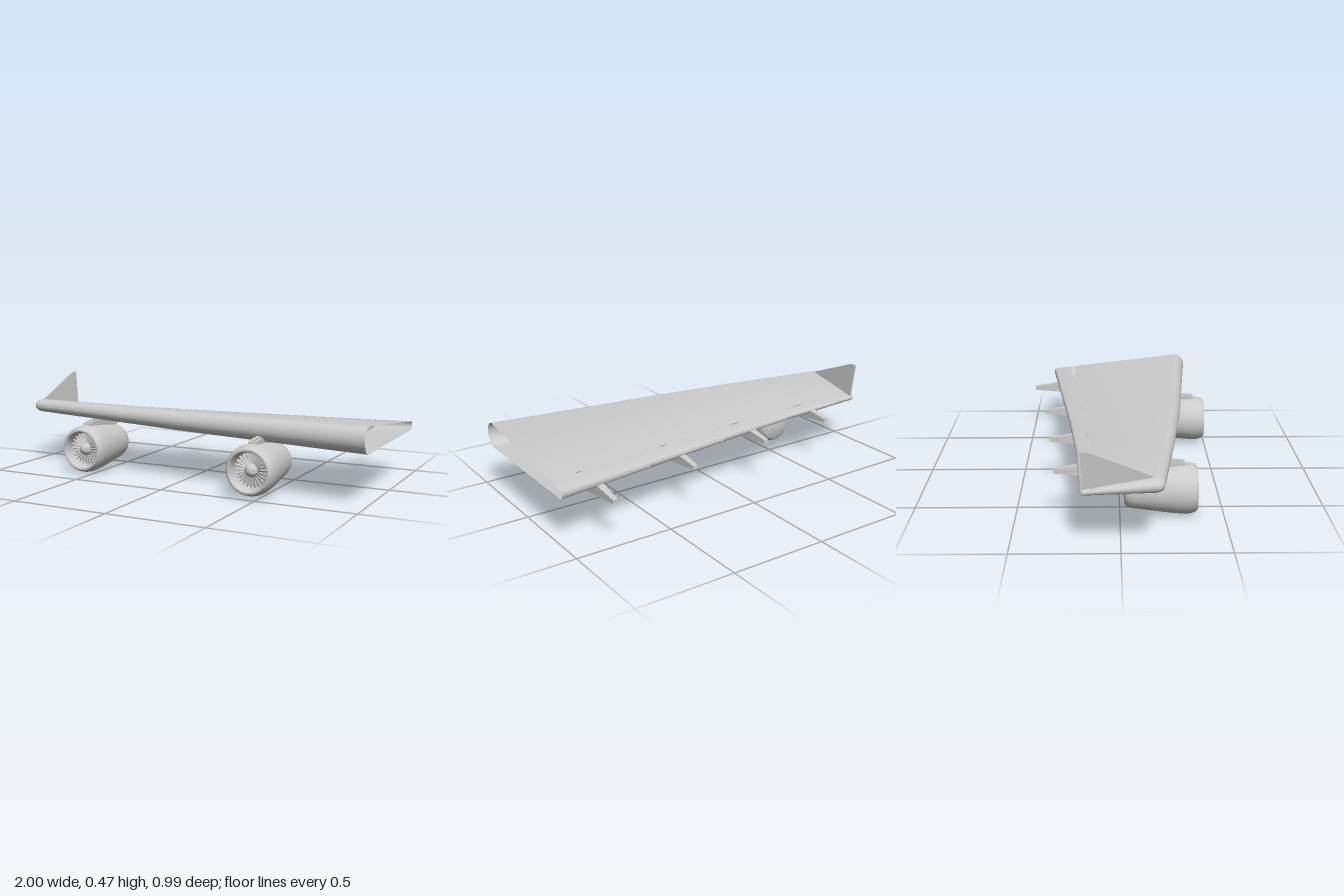
import * as THREE from 'three';
import { toCreasedNormals } from 'three/addons/utils/BufferGeometryUtils.js';

const GREY = new THREE.MeshStandardMaterial({ color: 0xcccccc, side: THREE.DoubleSide });

function mesh(name, geometry, crease = 0.6) {
  const m = new THREE.Mesh(toCreasedNormals(geometry, crease), GREY);
  m.name = name;
  return m;
}

// Skin stretched over a list of rings with equal point counts (open ends)
function loft(rings) {
  const n = rings[0].length, index = [];
  for (let r = 0; r < rings.length - 1; r++) {
    for (let i = 0; i < n - 1; i++) {
      const a = r * n + i, b = a + n;
      index.push(a, a + 1, b, a + 1, b + 1, b);
    }
  }
  const g = new THREE.BufferGeometry();
  g.setAttribute('position', new THREE.Float32BufferAttribute(rings.flat(2), 3));
  g.setIndex(index);
  return g;
}

// Plate cut from a side outline of [z, y] points, centred across x
function sidePlate(points, width) {
  const shape = new THREE.Shape(points.map(p => new THREE.Vector2(...p)));
  const g = new THREE.ExtrudeGeometry(shape, { depth: width, bevelEnabled: false });
  return g.translate(0, 0, -width / 2).rotateY(-Math.PI / 2);
}

// Wing dimensions at four span stations, interpolated between them
const TIP = -0.95, GAP = 0.006;
const STATIONS = [1, 0, -0.44, TIP];
const WING = {
  lead: [0.42, 0.325, 0.268, 0.195],
  trail: [-0.39, -0.26, -0.213, -0.18],
  hinge: [-0.28, -0.18, -0.15, -0.13],
  top: [0.376, 0.361, 0.355, 0.347],
  bottom: [0.246, 0.262, 0.27, 0.277],
  rearTop: [0.288, 0.288, 0.288, 0.288],
  rearBottom: [0.245, 0.253, 0.258, 0.262],
  nose: [0.058, 0.052, 0.05, 0.046],
};

function wingAt(x) {
  let k = 0;
  while (k < 2 && x < STATIONS[k + 1]) k++;
  const t = (x - STATIONS[k]) / (STATIONS[k + 1] - STATIONS[k]);
  const w = {};
  for (const key in WING) w[key] = THREE.MathUtils.lerp(WING[key][k], WING[key][k + 1], t);
  w.noseZ = w.lead - w.nose;
  w.rearZ = w.trail + 0.014;
  const slope = z => (w.noseZ - z) / (w.noseZ - w.rearZ);
  w.upper = z => THREE.MathUtils.lerp(w.top, w.rearTop, slope(z));
  w.lower = z => THREE.MathUtils.lerp(w.bottom, w.rearBottom, slope(z));
  return w;
}

// Half ellipse from the lower skin to the upper skin
function roundEdge(x, z, depth, low, high, steps) {
  return Array.from({ length: steps + 1 }, (_, i) => {
    const a = -Math.PI / 2 + Math.PI * i / steps;
    return [x, (low + high) / 2 + (high - low) / 2 * Math.sin(a), z + depth * Math.cos(a)];
  });
}

function mainSection(x) {
  const w = wingAt(x), back = w.hinge + GAP;
  return [[x, w.lower(w.hinge), w.hinge],
    ...roundEdge(x, w.noseZ, w.nose, w.bottom, w.top, 14),
    [x, w.upper(back), back]];
}

function flapSection(x) {
  const w = wingAt(x);
  return [[x, w.lower(w.hinge), w.hinge],
    ...roundEdge(x, w.rearZ, -0.014, w.rearBottom, w.rearTop, 6),
    [x, w.upper(w.hinge), w.hinge]];
}

// Rings that round the wing end off, following its local thickness
function tipRings(section) {
  return [1, 2, 3, 4, 5].map(i => {
    const a = i * Math.PI / 10;
    return section.map(([x, y, z], j) => {
      const mid = (y + section[section.length - 1 - j][1]) / 2;
      return [x - Math.abs(y - mid) * 1.42 * Math.sin(a), mid + (y - mid) * Math.cos(a), z];
    });
  });
}

function createWing() {
  const wing = new THREE.Group();
  wing.name = 'wing';
  const end = mainSection(TIP);
  wing.add(mesh('mainWingSkin', loft([...STATIONS.map(mainSection), ...tipRings(end)])));
  // Trailing edge panels with narrow seams between them
  const seams = [1, 0.5, 0.02, -0.44, -0.81, TIP];
  for (let i = 0; i < 5; i++) {
    const last = i === 4;
    const rings = [flapSection(seams[i]), flapSection(seams[i + 1] + (last ? 0 : 0.005))];
    if (last) rings.push(...tipRings(flapSection(TIP)));
    wing.add(mesh('flap', loft(rings)));
  }
  return wing;
}

function createEngine(x, y, z) {
  const engine = new THREE.Group();
  engine.name = 'engine';
  const turned = pts => new THREE.LatheGeometry(
    pts.map(p => new THREE.Vector2(...p)), 40).rotateX(Math.PI / 2);
  // Nacelle with closed tail, rounded lip and intake duct
  engine.add(mesh('nacelle', turned([
    [0, -0.35], [0.072, -0.35], [0.084, -0.342], [0.092, -0.327], [0.097, -0.305],
    [0.109, -0.21], [0.12, -0.12], [0.125, -0.055], [0.122, -0.03], [0.116, -0.012],
    [0.107, 0], [0.099, 0], [0.092, -0.012], [0.088, -0.03], [0.087, -0.075], [0, -0.075],
  ]), 0.75));
  engine.add(mesh('spinner', turned([
    [0.033, -0.075], [0.033, -0.045], [0.027, -0.03], [0.015, -0.019], [0, -0.015]])));
  // Fan blades
  const blades = 24;
  for (let i = 0; i < blades; i++) {
    const g = new THREE.BoxGeometry(0.009, 0.056, 0.003);
    g.rotateY(0.6).translate(0, 0.059, -0.05).rotateZ(i / blades * Math.PI * 2);
    engine.add(mesh('fanBlade', g));
  }
  // Pylon and its narrow top ridge
  engine.add(mesh('pylon', sidePlate([
    [-0.055, 0.11], [-0.058, 0.134], [-0.12, 0.143], [-0.3, 0.135],
    [-0.34, 0.12], [-0.33, 0.1], [-0.28, 0.07]], 0.044)));
  engine.add(mesh('pylonRidge', sidePlate([
    [-0.062, 0.125], [-0.066, 0.143], [-0.13, 0.15], [-0.2, 0.13]], 0.02)));
  engine.position.set(x, y, z);
  return engine;
}

// Flap track fairing, narrowing towards its tail and nose
function createFairing(x, lift, tail) {
  const g = sidePlate([
    [0, 0.214], [0, 0.234], [0.1, 0.25], [0.2, 0.27], [0.31, 0.27],
    [0.365, 0.25], [0.34, 0.213], [0.26, 0.194]], 0.05);
  const p = g.attributes.position;
  for (let i = 0; i < p.count; i++) {
    const z = p.getZ(i);
    const k = z > 0.3 ? 0.6 : Math.min(1, 0.5 + z * 2);
    p.setX(i, p.getX(i) * k);
  }
  g.computeVertexNormals();
  const m = mesh('flapTrackFairing', g);
  m.position.set(x, lift, tail);
  return m;
}

function createWinglet() {
  const g = sidePlate([[0.14, 0.338], [0.14, 0.35], [-0.145, 0.468], [-0.178, 0.468], [-0.17, 0.28]], 0.01);
  const p = g.attributes.position;
  // Slight outward lean, thinner at the front
  for (let i = 0; i < p.count; i++) {
    const thin = p.getZ(i) > 0 ? 0.4 : 1;
    p.setX(i, p.getX(i) * thin - 0.952 - (p.getY(i) - 0.34) * 0.09);
  }
  g.computeVertexNormals();
  return mesh('winglet', g);
}

export function createModel() {
  const model = new THREE.Group();
  model.name = 'aircraftWing';
  model.add(createWing(), createWinglet());
  model.add(createEngine(0.46, 0.137, 0.495), createEngine(-0.558, 0.128, 0.37));
  const fairings = [[0.79, 0, -0.495], [0.293, 0.01, -0.405], [-0.184, 0.018, -0.355], [-0.632, 0.025, -0.31]];
  for (const f of fairings) model.add(createFairing(...f));
  return model;
}
